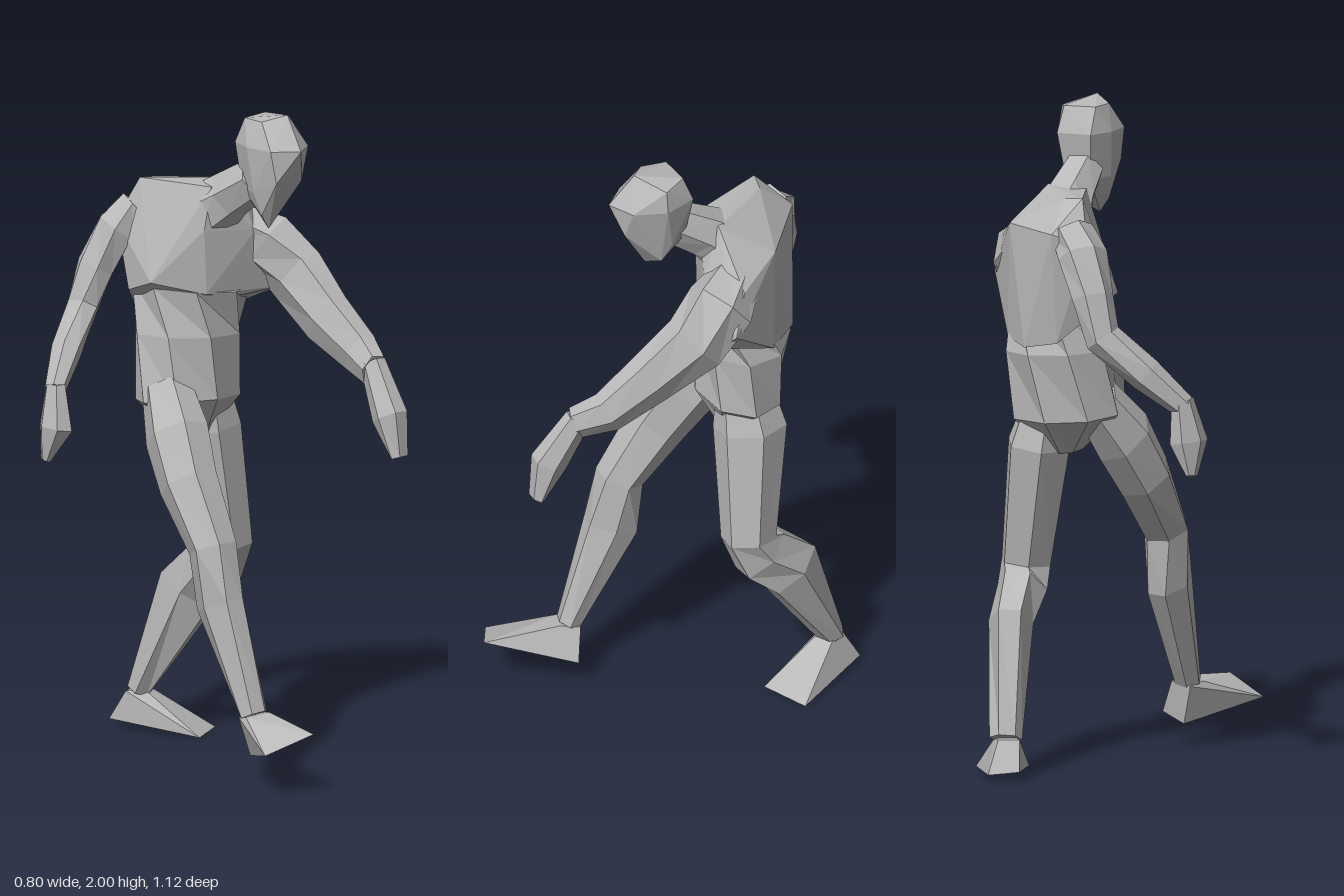
import * as THREE from 'three';
import { ConvexGeometry } from 'three/addons/geometries/ConvexGeometry.js';

const grey = new THREE.MeshStandardMaterial({ color: 0xb8b8b8, flatShading: true });
grey.name = 'grey';

// Faceted tube through rows of [x, y, z, half width, half depth, yaw in degrees]
function loft(rows, sides = 6) {
  const centres = rows.map(r => new THREE.Vector3(r[0], r[1], r[2]));
  const rings = rows.map((r, i) => {
    const t = centres[Math.min(i + 1, rows.length - 1)].clone()
      .sub(centres[Math.max(i - 1, 0)]).normalize();
    const yaw = THREE.MathUtils.degToRad(r[5] || 0);
    const s = new THREE.Vector3(Math.cos(yaw), 0, Math.sin(yaw));
    s.addScaledVector(t, -s.dot(t)).normalize();
    const f = s.clone().cross(t);
    return Array.from({ length: sides }, (_, j) => {
      const a = (j / sides) * Math.PI * 2;
      return centres[i].clone()
        .addScaledVector(s, Math.cos(a) * r[3])
        .addScaledVector(f, Math.sin(a) * r[4] * (sides === 6 ? 1.1 : 1));
    });
  });
  const pos = [];
  const tri = (...pts) => pts.forEach(p => pos.push(p.x, p.y, p.z));
  const last = rings.length - 1;
  for (let j = 0; j < sides; j++) {
    const k = (j + 1) % sides;
    for (let i = 0; i < last; i++) {
      const a = rings[i], b = rings[i + 1];
      tri(a[j], b[j], b[k]);
      tri(a[j], b[k], a[k]);
    }
    tri(centres[0], rings[0][j], rings[0][k]);
    tri(centres[last], rings[last][k], rings[last][j]);
  }
  const g = new THREE.BufferGeometry();
  g.setAttribute('position', new THREE.Float32BufferAttribute(pos, 3));
  g.computeVertexNormals();
  return g;
}

const hull = pts => new ConvexGeometry(pts.map(p => new THREE.Vector3(...p)));

export function createModel() {
  const group = new THREE.Group();
  group.name = 'walkingFigure';
  const add = (name, geometry) => {
    const mesh = new THREE.Mesh(geometry, grey);
    mesh.name = name;
    group.add(mesh);
  };

  // Waist twists from the hips up into the chest
  add('waist', loft([
    [0.10, 0.97, -0.18, 0.05, 0.06, 0],
    [0.10, 1.08, -0.195, 0.18, 0.135, 5],
    [0.115, 1.28, -0.21, 0.175, 0.145, 18],
    [0.12, 1.43, -0.20, 0.18, 0.135, 40],
  ], 8));

  // Chest: shoulder line, back, front, then lower edge
  add('chest', hull([
    [0.08, 1.75, -0.08], [0.20, 1.76, -0.09], [0.00, 1.76, -0.30], [0.06, 1.755, -0.29],
    [0.06, 1.66, -0.40], [0.26, 1.66, -0.25], [0.34, 1.60, -0.11], [-0.04, 1.63, -0.36],
    [0.05, 1.62, -0.08], [0.22, 1.60, -0.03], [0.39, 1.48, -0.06],
    [-0.07, 1.46, -0.19], [0.06, 1.42, -0.08], [0.20, 1.40, -0.06],
    [0.33, 1.41, -0.03], [0.27, 1.31, -0.24], [0.17, 1.30, -0.35], [0.06, 1.32, -0.36], [-0.05, 1.42, -0.30],
  ]));

  add('neck', loft([
    [0.13, 1.64, -0.16, 0.10, 0.09, 25],
    [0.14, 1.72, -0.06, 0.075, 0.07, 10],
    [0.14, 1.79, 0.05, 0.06, 0.06, 5],
  ]));

  // Head: chin and jaw, brow line, crown
  add('head', hull([
    [0.12, 1.645, 0.12], [0.09, 1.69, 0.12], [0.195, 1.69, 0.10], [0.075, 1.76, 0.10], [0.21, 1.75, 0.07],
    [0.08, 1.80, 0.19], [0.17, 1.80, 0.21], [0.11, 1.76, 0.02], [0.19, 1.76, 0.02],
    [0.065, 1.90, 0.18], [0.13, 1.90, 0.245], [0.21, 1.90, 0.20], [0.245, 1.90, 0.10],
    [0.065, 1.90, 0.08], [0.10, 1.90, 0.00], [0.21, 1.90, 0.00],
    [0.09, 1.98, 0.12], [0.15, 2.00, 0.17], [0.235, 1.97, 0.10], [0.10, 1.98, 0.04], [0.20, 1.98, 0.03],
  ]));

  // Left arm swings forward
  add('leftArm', loft([
    [0.24, 1.61, -0.14, 0.06, 0.07, 30],
    [0.30, 1.55, -0.05, 0.09, 0.10, 25],
    [0.325, 1.455, 0.05, 0.075, 0.10, 10],
    [0.305, 1.35, 0.19, 0.062, 0.085, 0],
    [0.30, 1.265, 0.33, 0.052, 0.065, 0],
    [0.265, 1.23, 0.42, 0.04, 0.05, 0],
  ]));
  add('leftHand', loft([
    [0.27, 1.25, 0.41, 0.035, 0.04],
    [0.25, 1.10, 0.50, 0.05, 0.055],
    [0.25, 0.98, 0.54, 0.035, 0.02],
  ]));

  // Right arm swings back
  add('rightArm', loft([
    [0.02, 1.66, -0.33, 0.06, 0.06, 40],
    [-0.03, 1.60, -0.37, 0.062, 0.075, 30],
    [-0.08, 1.48, -0.41, 0.055, 0.065, 20],
    [-0.12, 1.36, -0.425, 0.05, 0.055, 20],
    [-0.24, 1.25, -0.38, 0.048, 0.05, 20],
    [-0.345, 1.15, -0.33, 0.032, 0.035, 20],
  ]));
  add('rightHand', loft([
    [-0.34, 1.17, -0.33, 0.03, 0.035, 20],
    [-0.355, 1.04, -0.315, 0.05, 0.06, 20],
    [-0.375, 0.94, -0.34, 0.012, 0.02, 20],
  ]));

  // Left leg trails, right leg steps ahead
  add('leftLeg', loft([
    [0.16, 1.12, -0.19, 0.07, 0.08],
    [0.185, 0.98, -0.20, 0.10, 0.105],
    [0.24, 0.61, -0.17, 0.08, 0.078],
    [0.235, 0.54, -0.21, 0.078, 0.09, -10],
    [0.23, 0.45, -0.31, 0.068, 0.097, -20],
    [0.18, 0.12, -0.47, 0.05, 0.035, -30],
  ]));
  add('rightLeg', loft([
    [0.00, 1.12, -0.19, 0.07, 0.08],
    [-0.05, 1.00, -0.10, 0.09, 0.10],
    [-0.085, 0.87, -0.02, 0.085, 0.09],
    [-0.105, 0.69, 0.10, 0.073, 0.07],
    [-0.105, 0.52, 0.13, 0.062, 0.082, 10],
    [-0.105, 0.20, 0.27, 0.045, 0.035, 20],
  ]));

  // Feet: sole corners, then ankle corners
  add('leftFoot', hull([
    [0.11, 0.03, -0.53], [0.20, 0.02, -0.56], [0.345, 0, -0.31], [0.20, 0, -0.24],
    [0.13, 0.12, -0.48], [0.19, 0.12, -0.505], [0.22, 0.12, -0.46], [0.17, 0.125, -0.44],
  ]));
  add('rightFoot', hull([
    [-0.27, 0.13, 0.47], [-0.13, 0.185, 0.54], [-0.02, 0.10, 0.275], [-0.10, 0.07, 0.25],
    [-0.15, 0.20, 0.28], [-0.08, 0.21, 0.31], [-0.06, 0.20, 0.25], [-0.13, 0.19, 0.23],
  ]));

  return group;
}
